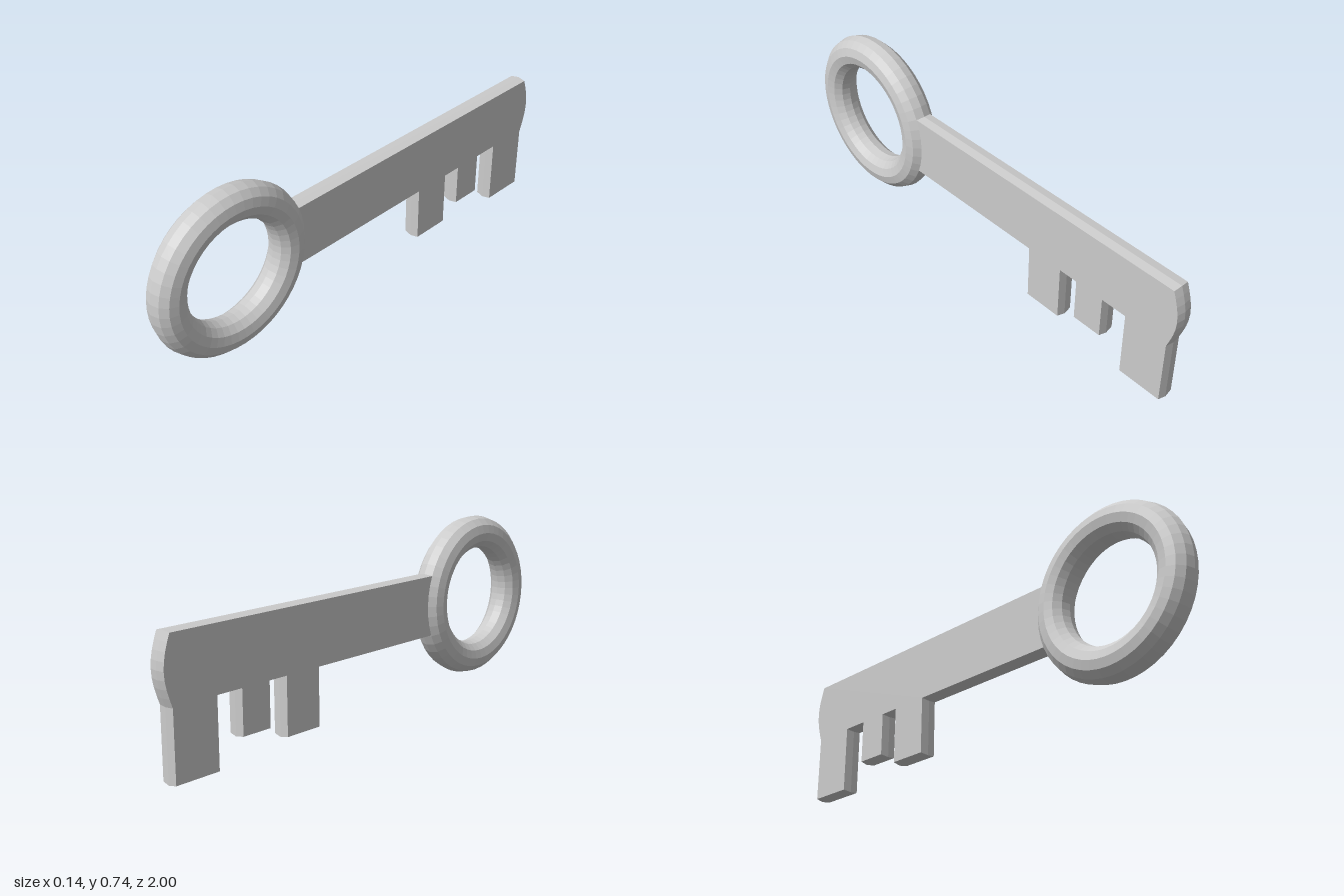
import * as THREE from 'three';

export function createModel() {
  const model = new THREE.Group();
  const material = new THREE.MeshStandardMaterial({ color: 0xcccccc, flatShading: true });

  // Ring-shaped handle, standing in the yz plane
  const bow = new THREE.Mesh(new THREE.TorusGeometry(0.27, 0.068, 12, 48), material);
  bow.name = 'ringHandle';
  bow.rotation.y = -Math.PI / 2;
  bow.position.set(0, 0.397, 0.662);
  model.add(bow);

  // Blade outline: x of the shape runs along the key's z
  const top = 0.527, bottom = 0.27, tip = -0.97;
  const outline = new THREE.Shape();
  outline.moveTo(0.4, top);
  outline.lineTo(0.4, bottom);
  // Teeth: [near z, far z, lower edge]
  for (const [near, far, low] of [[-0.293, -0.465, 0.04], [-0.538, -0.675, 0.095], [-0.775, tip, 0]]) {
    outline.lineTo(near, bottom);
    outline.lineTo(near, low);
    outline.lineTo(far, low);
    outline.lineTo(far, bottom);
  }
  // Bulged tip
  const steps = 8;
  for (let i = 1; i <= steps; i++) {
    const t = i / steps;
    outline.lineTo(tip - 0.03 * Math.sin(Math.PI * t), bottom + (top - bottom) * t);
  }

  // Shallow bevels meet in a ridge around the rim
  const ridge = 0.005, depth = 0.001, half = 0.034;
  const geometry = new THREE.ExtrudeGeometry(outline, {
    depth, bevelEnabled: true, bevelSegments: 1,
    bevelThickness: half - depth / 2, bevelSize: ridge, bevelOffset: -ridge,
  });
  geometry.translate(0, 0, -depth / 2);
  geometry.rotateY(-Math.PI / 2);
  const blade = new THREE.Mesh(geometry, material);
  blade.name = 'toothedBlade';
  model.add(blade);

  return model;
}
